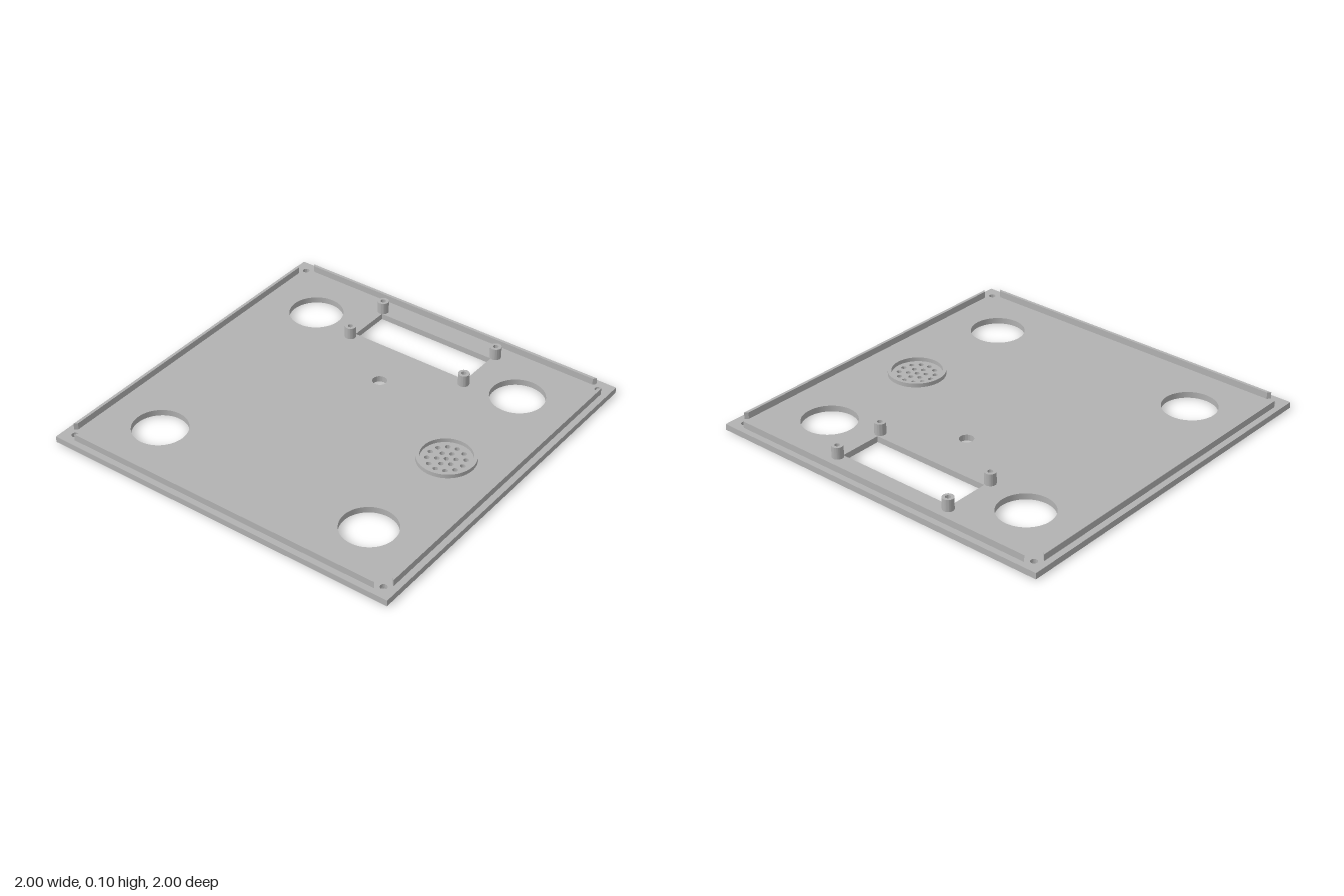
import * as THREE from 'three';
import { toCreasedNormals } from 'three/addons/utils/BufferGeometryUtils.js';

const PLATE_TOP = 0.033, SINK = 0.015;
const grey = new THREE.MeshStandardMaterial({ color: 0xb2b2b2 });
grey.name = 'plainGrey';

// Circle path in plan coordinates (x, z)
function circle(Type, x, z, r) {
  const path = new Type();
  path.absarc(x, -z, r, 0, Math.PI * 2, false);
  return path;
}

function polygon(Type, points) {
  return new Type(points.map(([x, z]) => new THREE.Vector2(x, -z)));
}

// Upright extrusion of a plan shape from y0 to y1
function slab(name, shape, y0, y1) {
  const raw = new THREE.ExtrudeGeometry(shape, { depth: y1 - y0, bevelEnabled: false, curveSegments: 32 });
  raw.rotateX(-Math.PI / 2).translate(0, y0, 0);
  const mesh = new THREE.Mesh(toCreasedNormals(raw, 0.6), grey);
  mesh.name = name;
  return mesh;
}

function tube(name, x, z, outer, inner, y1) {
  const shape = circle(THREE.Shape, x, z, outer);
  shape.holes.push(circle(THREE.Path, x, z, inner));
  return slab(name, shape, PLATE_TOP, y1);
}

// Plate outline with every opening
function plateShape(screwRadius) {
  const shape = polygon(THREE.Shape, [[-1, 1], [1, 1], [1, -1], [-1, -1]]);
  const hole = (x, z, r) => shape.holes.push(circle(THREE.Path, x, z, r));
  for (const sx of [-1, 1]) for (const sz of [-1, 1]) {
    hole(sx * 0.638, sz * 0.638, 0.145);
    hole(sx * 0.934, sz * 0.934, screwRadius);
  }
  hole(0.332, 0, 0.038);
  shape.holes.push(polygon(THREE.Path, [[0.598, 0.347], [0.835, 0.347], [0.835, -0.347], [0.598, -0.347]]));
  // Speaker perforations: centre, ring of 6, ring of 12
  hole(0, 0.638, 0.0135);
  for (const [count, radius] of [[6, 0.047], [12, 0.095]]) {
    for (let i = 0; i < count; i++) {
      const a = i / count * Math.PI * 2;
      hole(radius * Math.cos(a), 0.638 + radius * Math.sin(a), 0.0135);
    }
  }
  return shape;
}

export function createModel() {
  const model = new THREE.Group();
  model.name = 'coverPlate';

  // Plate in two layers, the lower one with wider screw recesses
  model.add(slab('plateLower', plateShape(0.026), 0, SINK));
  model.add(slab('plateUpper', plateShape(0.018), SINK, PLATE_TOP));

  // Locating lip along each edge, with mitred ends
  for (let i = 0; i < 4; i++) {
    const lip = slab('edgeLip' + (i + 1),
      polygon(THREE.Shape, [[-0.905, 0.967], [0.905, 0.967], [0.89, 0.951], [-0.89, 0.951]]),
      PLATE_TOP, 0.069);
    lip.rotation.y = i * Math.PI / 2;
    model.add(lip);
  }

  // Collar around the speaker perforations
  model.add(tube('speakerCollar', 0, 0.638, 0.152, 0.133, 0.055));

  // Hollow mounting posts around the window
  for (const x of [0.566, 0.861]) for (const z of [-0.358, 0.358]) {
    model.add(tube('mountingPost', x, z, 0.03, 0.014, 0.098));
  }
  return model;
}
